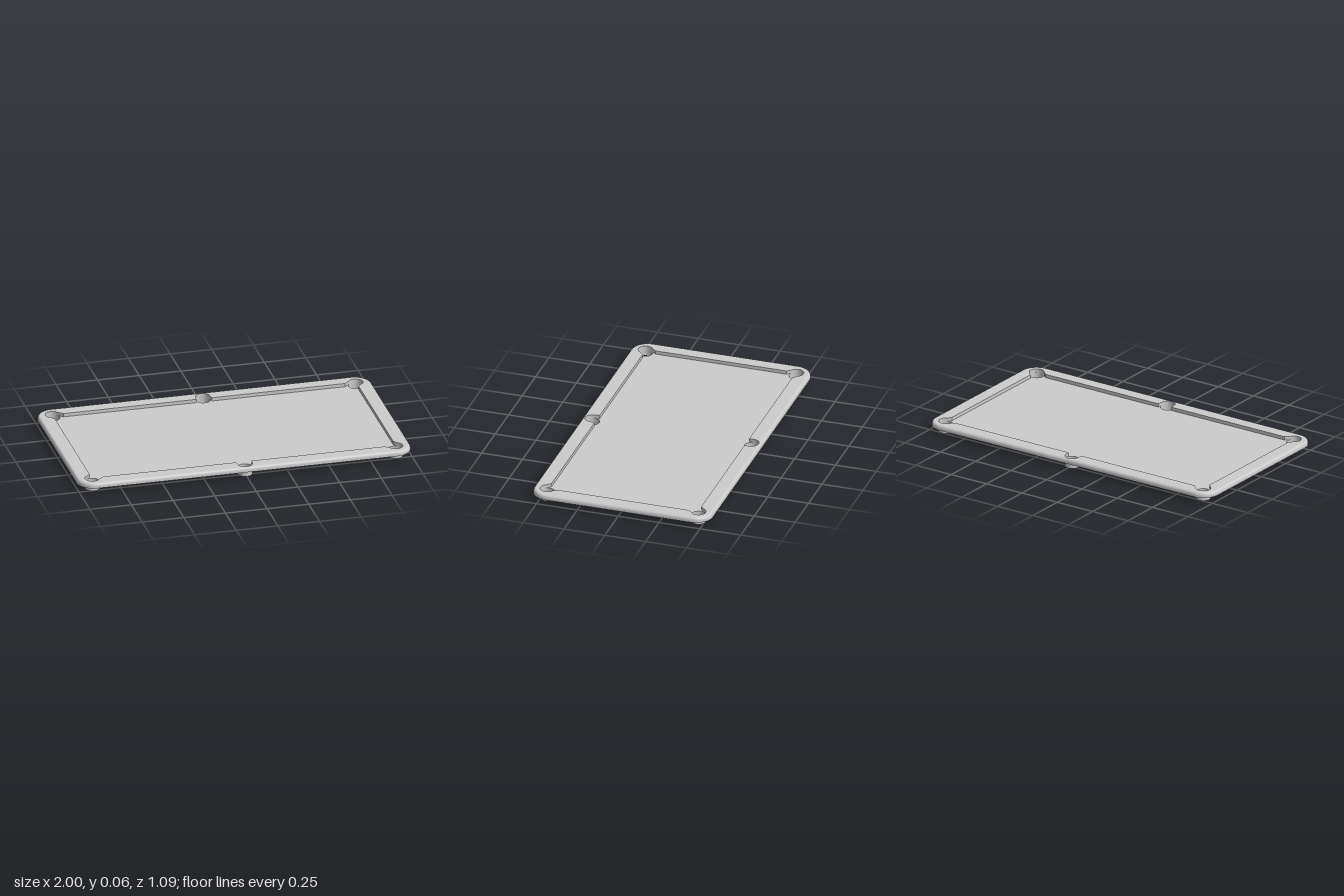
import * as THREE from 'three';
import { toCreasedNormals } from 'three/addons/utils/BufferGeometryUtils.js';

const HALF_X = 1, HALF_Z = 0.546, CORNER = 0.1;
const BASE = 0.033, BED = 0.042, TOP = 0.063;
const POCKET_R = 0.043;
const CORNER_X = 0.91, CORNER_Z = 0.462, MIDDLE_Z = 0.4875;

const grey = new THREE.MeshStandardMaterial({ color: 0xcccccc });
const greyDouble = new THREE.MeshStandardMaterial({ color: 0xcccccc, side: THREE.DoubleSide });

const pockets = [];
for (const s of [1, -1]) {
  pockets.push([0, s * MIDDLE_Z], [CORNER_X, s * CORNER_Z], [-CORNER_X, s * CORNER_Z]);
}

// points on an arc, angles in degrees
function arc(cx, cy, r, from, to, n) {
  return Array.from({ length: n + 1 }, (_, i) => {
    const a = THREE.MathUtils.degToRad(from + (to - from) * i / n);
    return new THREE.Vector2(cx + r * Math.cos(a), cy + r * Math.sin(a));
  });
}

// rounded table outline, moved inwards by d
function outline(d) {
  const x = HALF_X - CORNER, z = HALF_Z - CORNER, r = CORNER - d;
  return [[x, z], [-x, z], [-x, -z], [x, -z]]
    .flatMap(([cx, cz], k) => arc(cx, cz, r, k * 90, k * 90 + 90, 12));
}

// edge of the playing area with its pocket mouths: one quarter, mirrored
function cushionEdge() {
  const quarter = [
    ...arc(0, MIDDLE_Z, POCKET_R, 90, 0, 8),
    new THREE.Vector2(0.047, 0.458),
    new THREE.Vector2(0.845, 0.458),
    ...arc(CORNER_X, CORNER_Z, POCKET_R, 152, -62, 20),
    new THREE.Vector2(0.912, 0.4),
  ];
  const mirror = (sx, sz) => quarter.map(p => new THREE.Vector2(p.x * sx, p.y * sz));
  const back = (sx, sz) => mirror(sx, sz).reverse().slice(0, -1);
  return [...mirror(1, 1), ...back(1, -1), ...mirror(-1, -1), ...back(-1, 1)];
}

// flat plate pierced by the six pockets
function piercedPlate(d) {
  const shape = new THREE.Shape(outline(d));
  for (const [x, z] of pockets) {
    shape.holes.push(new THREE.Path(arc(x, z, POCKET_R, 360, 0, 32).slice(0, -1)));
  }
  return new THREE.ShapeGeometry(shape);
}

// outer side: upright below, rounded over at the top
function sideGeometry(inset) {
  const profile = [[0, BASE]];
  for (let i = 0; i <= 8; i++) {
    const a = i / 8 * Math.PI / 2;
    profile.push([inset * (1 - Math.cos(a)), TOP - 0.02 * (1 - Math.sin(a))]);
  }
  const positions = [], index = [];
  const n = outline(0).length;
  profile.forEach(([d, y], i) => {
    outline(d).forEach((p, j) => {
      positions.push(p.x, y, -p.y);
      if (i === profile.length - 1) return;
      const a = i * n + j, b = i * n + (j + 1) % n;
      index.push(a, b, b + n, a, b + n, a + n);
    });
  });
  const geometry = new THREE.BufferGeometry();
  geometry.setAttribute('position', new THREE.Float32BufferAttribute(positions, 3));
  geometry.setIndex(index);
  geometry.computeVertexNormals();
  return geometry;
}

export function createModel() {
  const table = new THREE.Group();
  table.name = 'poolTableTop';
  const add = (name, geometry, material = grey) => {
    const mesh = new THREE.Mesh(geometry, material);
    mesh.name = name;
    table.add(mesh);
    return mesh;
  };

  // raised rail around the bed
  const inset = 0.014;
  const railShape = new THREE.Shape(outline(inset));
  railShape.holes.push(new THREE.Path(cushionEdge()));
  const rail = new THREE.ExtrudeGeometry(railShape, { depth: TOP - BED, bevelEnabled: false });
  rail.rotateX(-Math.PI / 2).translate(0, BED, 0);
  add('rail', toCreasedNormals(rail, 0.5));
  add('roundedSide', sideGeometry(inset));

  // playing surface and underside
  add('bed', piercedPlate(0.01).rotateX(-Math.PI / 2).translate(0, BED, 0));
  add('underside', piercedPlate(0).rotateX(Math.PI / 2).translate(0, BASE, 0));

  // open pocket sleeves hanging below the table
  for (const [x, z] of pockets) {
    const sleeve = new THREE.CylinderGeometry(POCKET_R, POCKET_R, BED, 32, 1, true);
    add('pocketSleeve', sleeve, greyDouble).position.set(x, BED / 2, z);
  }
  return table;
}
